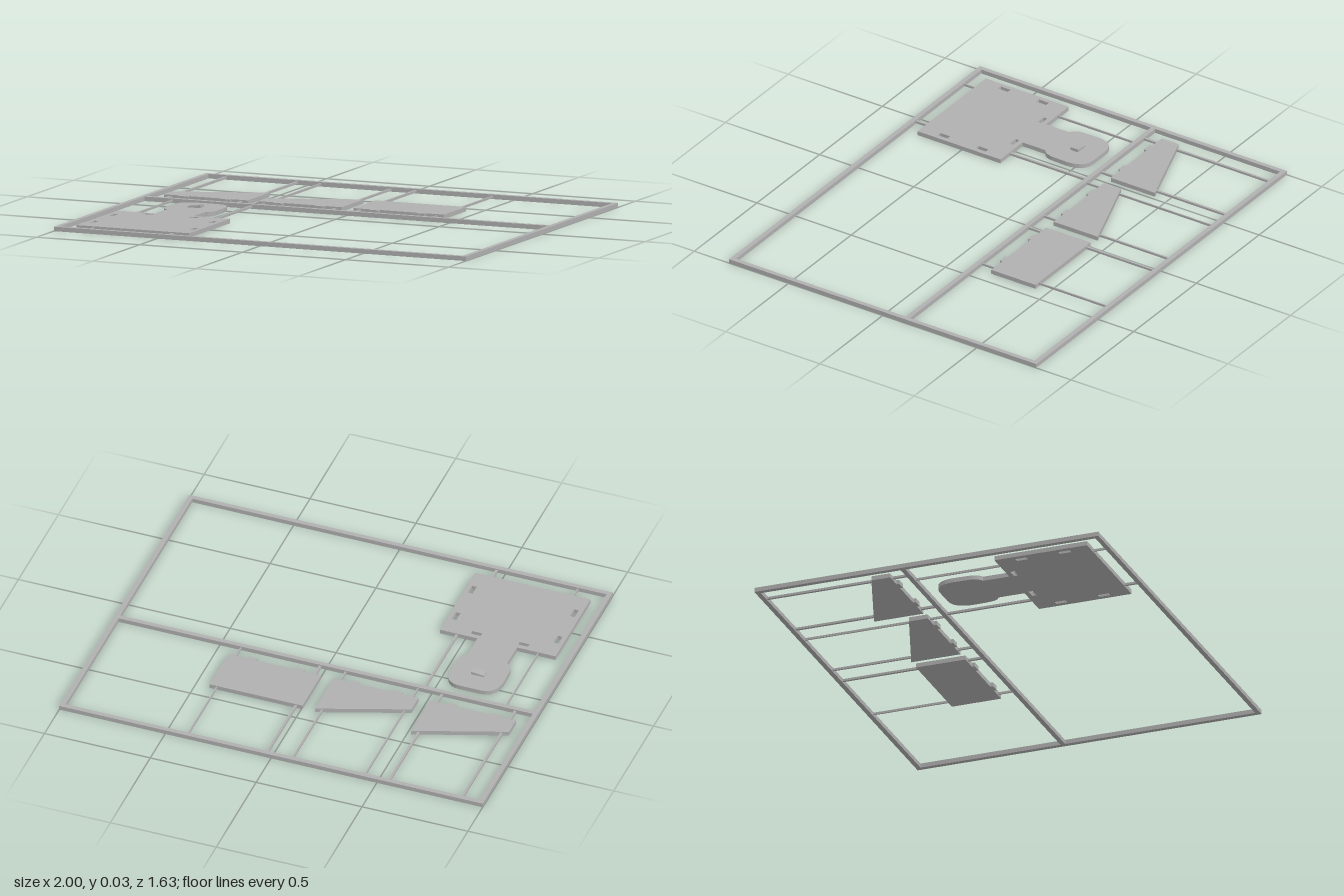
import * as THREE from 'three';

const T = 0.02; // sheet thickness

export function createModel() {
  const group = new THREE.Group();
  const grey = new THREE.MeshStandardMaterial({ color: 0xb0b0b0 });
  grey.name = 'plain grey';

  const add = (geometry, name) => {
    const mesh = new THREE.Mesh(geometry, grey);
    mesh.name = name;
    group.add(mesh);
    return mesh;
  };
  // Box given by its limits
  const bar = (name, x0, x1, z0, z1, y0 = 0, y1 = T) =>
    add(new THREE.BoxGeometry(x1 - x0, y1 - y0, z1 - z0), name)
      .position.set((x0 + x1) / 2, (y0 + y1) / 2, (z0 + z1) / 2);
  // Lay a shape drawn in (x, -z) flat on the ground
  const plate = (shape, name) => {
    const g = new THREE.ExtrudeGeometry(shape, { depth: T, bevelEnabled: false, curveSegments: 8 });
    g.rotateX(-Math.PI / 2);
    return add(g, name);
  };
  const outline = (points) => new THREE.Shape(points.map(([x, z]) => new THREE.Vector2(x, -z)));

  // Outer frame and cross bar
  const W = 0.022, D = 0.815;
  for (const s of [-1, 1]) {
    const x = s * (1 - W / 2), z = s * (D - W / 2);
    bar('frameSide', x - W / 2, x + W / 2, -D, D);
    bar('frameEnd', -1 + W, 1 - W, z - W / 2, z + W / 2);
  }
  bar('frameCrossBar', -1 + W, 1 - W, -0.13, -0.108);

  // Thin runners, stopping at the parts they hold
  const runner = (x, w, z0, z1) => bar('runner', x - w / 2, x + w / 2, z0, z1, 0.005, 0.015);
  const slope = (x, left) => -0.289 - 0.145 * (x - left) / 0.405;
  const backRunners = [
    [-0.895, 0.011, slope(-0.895, -0.926)], [-0.55, 0.011, slope(-0.55, -0.926)],
    [-0.436, 0.006, slope(-0.436, -0.466)], [-0.094, 0.008, slope(-0.094, -0.466)],
    [0.026, 0.011, -0.434], [0.4, 0.006, -0.434],
  ];
  for (const [x, w, z] of backRunners) {
    runner(x, w, -D + W, z);
    runner(x, w, -0.2, -0.13);
  }
  for (const [x, w] of [[-0.843, 0.006], [-0.46, 0.011]]) {
    runner(x, w, -0.108, 0.294);
    runner(x, w, 0.733, D - W);
  }

  // Tabbed panels: left edge, right edge, left edge depth, tab positions
  const tabbedPanel = (name, x0, x1, zLeft, tabs) => {
    const pts = [[x0, -0.2], [x0, zLeft], [x1, -0.434], [x1, -0.2]];
    for (const t of [...tabs].reverse())
      pts.push([t + 0.044, -0.2], [t + 0.044, -0.187], [t, -0.187], [t, -0.2]);
    plate(outline(pts), name);
  };
  tabbedPanel('sidePanel', -0.926, -0.519, -0.289, [-0.848, -0.643]);
  tabbedPanel('sidePanel', -0.466, -0.064, -0.289, [-0.388, -0.185]);
  tabbedPanel('frontPanel', -0.005, 0.434, -0.434, [0.078, 0.301]);

  // Slotted back plate with neck and rounded head
  const s = new THREE.Shape();
  s.moveTo(-0.926, -0.733);
  s.lineTo(-0.38, -0.733);
  s.lineTo(-0.38, -0.294);
  s.lineTo(-0.557, -0.294);
  s.lineTo(-0.557, -0.17);
  s.bezierCurveTo(-0.54, -0.165, -0.527, -0.14, -0.527, -0.11);
  s.lineTo(-0.525, -0.04);
  s.bezierCurveTo(-0.527, 0.02, -0.55, 0.053, -0.605, 0.053);
  s.lineTo(-0.697, 0.053);
  s.bezierCurveTo(-0.75, 0.053, -0.776, 0.02, -0.778, -0.04);
  s.lineTo(-0.776, -0.11);
  s.bezierCurveTo(-0.776, -0.14, -0.762, -0.165, -0.744, -0.17);
  s.lineTo(-0.744, -0.294);
  s.lineTo(-0.926, -0.294);
  s.closePath();
  const slot = (x0, x1, z0, z1) => s.holes.push(new THREE.Path(
    [[x0, z0], [x0, z1], [x1, z1], [x1, z0]].map(([x, z]) => new THREE.Vector2(x, -z))));
  slot(-0.787, -0.741, 0.316, 0.335);
  slot(-0.565, -0.517, 0.316, 0.335);
  for (const x of [-0.905, -0.423])
    for (const z of [0.385, 0.589]) slot(x, x + 0.022, z, z + 0.052);
  plate(s, 'backPlate');

  // Wedge-shaped block on the head, rising towards +x
  const w = new THREE.Shape([[-0.683, 0.018], [-0.621, 0.018], [-0.621, 0.034], [-0.683, 0.026]]
    .map(([x, y]) => new THREE.Vector2(x, y)));
  const wedge = new THREE.ExtrudeGeometry(w, { depth: 0.04, bevelEnabled: false });
  wedge.translate(0, 0, 0.042);
  add(wedge, 'headBlock');

  return group;
}
